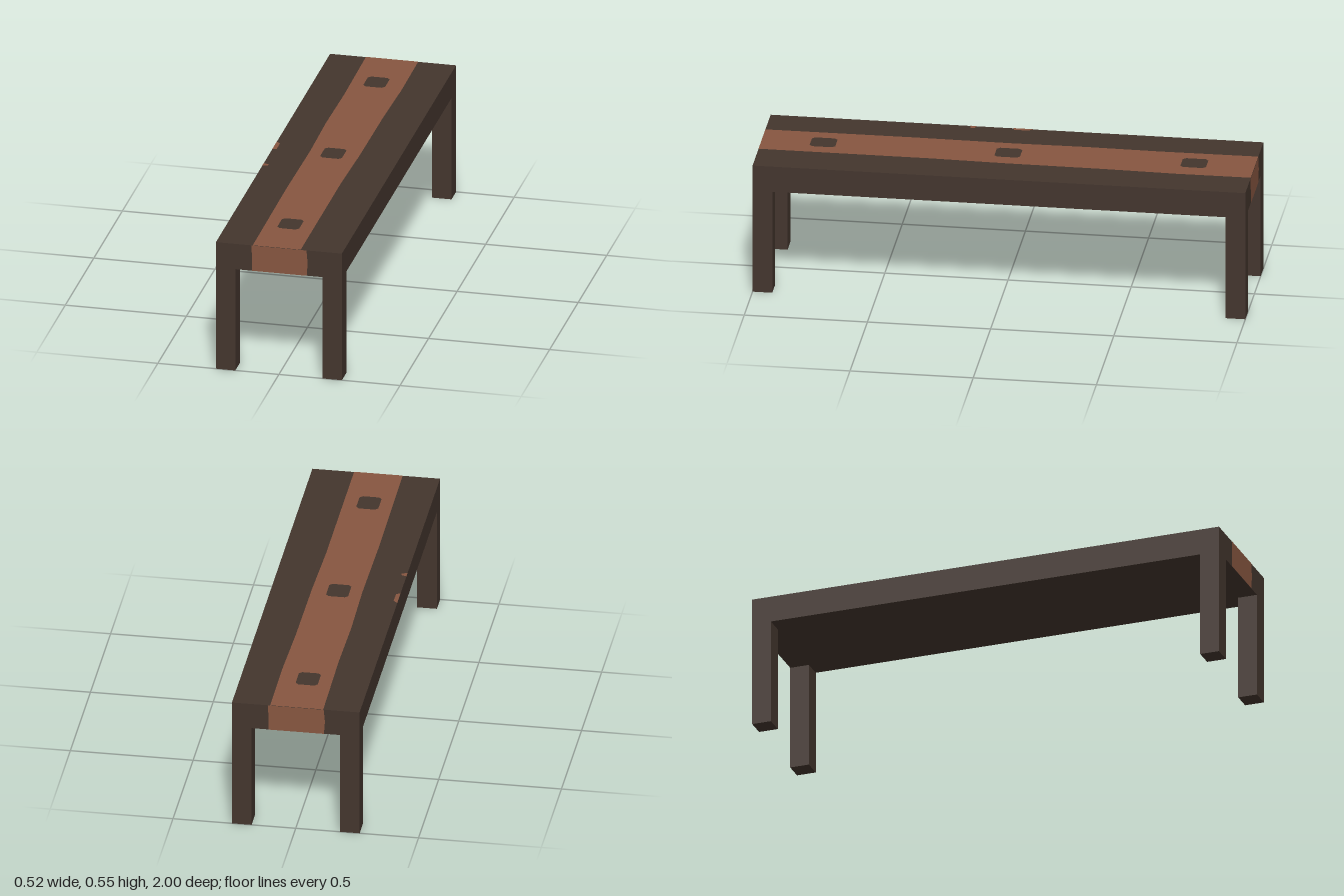
import * as THREE from 'three';

const W = 0.52, L = 2, H = 0.552, T = 0.11, LEG = 0.08, LIFT = 0.001;

// Closed shape from [x, y] points
const outline = (pts) => new THREE.Shape(pts.map(([x, y]) => new THREE.Vector2(x, y)));

// Square with softened corners, used for the gaps in the inlay
function softSquare(cx, cy, hx, hy, c = 0.012) {
  return outline([
    [cx - hx + c, cy - hy], [cx + hx - c, cy - hy], [cx + hx, cy - hy + c], [cx + hx, cy + hy - c],
    [cx + hx - c, cy + hy], [cx - hx + c, cy + hy], [cx - hx, cy + hy - c], [cx - hx, cy - hy + c],
  ]);
}

export function createModel() {
  const darkWood = new THREE.MeshStandardMaterial({ color: 0x43352d });
  const redWood = new THREE.MeshStandardMaterial({ color: 0x875640 });
  darkWood.name = 'darkWood';
  redWood.name = 'redWood';

  const model = new THREE.Group();
  model.name = 'bench';
  const add = (name, geometry, material) => {
    const mesh = new THREE.Mesh(geometry, material);
    mesh.name = name;
    model.add(mesh);
    return mesh;
  };

  // Seat slab
  add('seat', new THREE.BoxGeometry(W, T, L), darkWood).position.y = H - T / 2;

  // Four square legs, flush with the corners
  const legHeight = H - T;
  for (const sx of [-1, 1]) for (const sz of [-1, 1]) {
    add('leg', new THREE.BoxGeometry(LEG, legHeight, LEG), darkWood)
      .position.set(sx * (W - LEG) / 2, legHeight / 2, sz * (L - LEG) / 2);
  }

  // Inlay along the top (shape y becomes -z), with three square gaps
  const stripe = outline([
    [-0.108, -1], [0.09, -1], [0.09, -0.3], [0.097, 0], [0.099, 0.4], [0.106, 0.7], [0.104, 1],
    [-0.112, 1], [-0.108, 0.6], [-0.112, 0.3], [-0.107, 0], [-0.111, -0.4],
  ]);
  for (const y of [-0.75, 0, 0.755]) stripe.holes.push(softSquare(-0.011, y, 0.045, 0.052));
  const layFlat = (shape) => new THREE.ShapeGeometry(shape).rotateX(-Math.PI / 2).translate(0, H + LIFT, 0);
  add('topInlay', layFlat(stripe), redWood);

  // Two small flecks at the seat edge
  add('edgeFleck', layFlat(outline([[-0.26, -0.015], [-0.243, -0.01], [-0.243, 0.05], [-0.26, 0.065]])), redWood);
  add('edgeFleck', layFlat(outline([[-0.26, -0.19], [-0.238, -0.185], [-0.238, -0.17], [-0.26, -0.163]])), redWood);

  // Inlay carried down both ends
  const b = H - T, m = H - T / 2;
  const endShape = outline([[-0.111, b], [0.115, b], [0.119, m], [0.114, H], [-0.113, H], [-0.111, m]]);
  for (const sz of [-1, 1]) {
    const geometry = new THREE.ShapeGeometry(endShape);
    if (sz < 0) geometry.rotateY(Math.PI);
    add('endInlay', geometry, redWood).position.z = sz * (L / 2 + LIFT);
  }
  return model;
}
